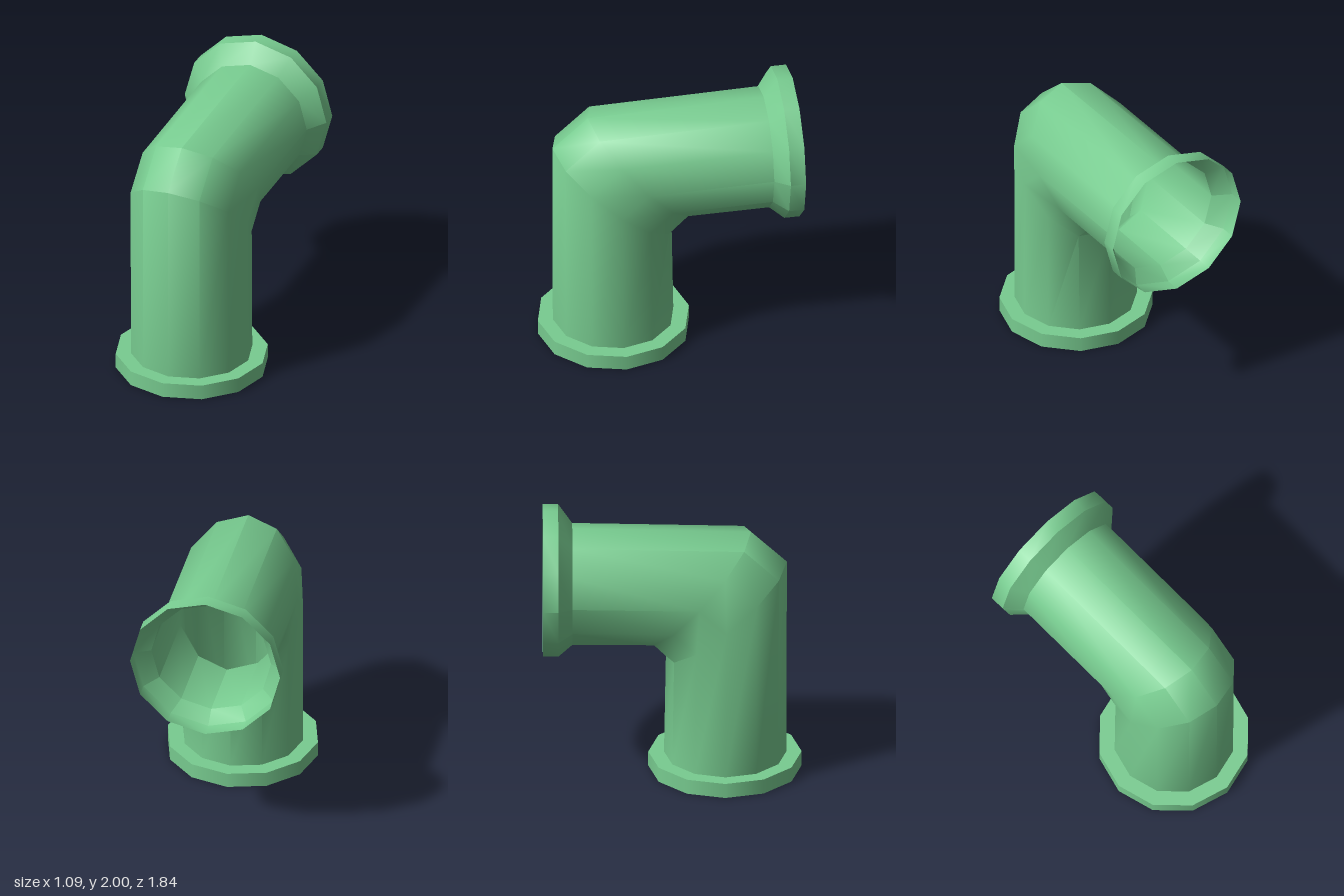
import * as THREE from 'three';
import { toCreasedNormals } from 'three/addons/utils/BufferGeometryUtils.js';

const SIDES = 12;

// Skins a tube through rings given as { outer: [y, z], inner: [y, z], r: half width in x }.
function loft(rings) {
  const positions = [], index = [];
  for (const { outer, inner, r } of rings) {
    for (let j = 0; j < SIDES; j++) {
      const a = (j / SIDES) * Math.PI * 2;
      const t = (1 + Math.cos(a)) / 2;
      positions.push(
        r * Math.sin(a),
        inner[0] + (outer[0] - inner[0]) * t,
        inner[1] + (outer[1] - inner[1]) * t
      );
    }
  }
  for (let i = 0; i < rings.length - 1; i++) {
    for (let j = 0; j < SIDES; j++) {
      const k = (j + 1) % SIDES;
      const a = i * SIDES + j, b = i * SIDES + k;
      index.push(a, b, b + SIDES, a, b + SIDES, a + SIDES);
    }
  }
  const geometry = new THREE.BufferGeometry();
  geometry.setAttribute('position', new THREE.Float32BufferAttribute(positions, 3));
  geometry.setIndex(index);
  return toCreasedNormals(geometry, 0.8);
}

export function createModel() {
  const group = new THREE.Group();
  group.name = 'elbowPipe';
  const green = new THREE.MeshStandardMaterial({ color: 0x78cc90, side: THREE.DoubleSide });

  // Closed flange the pipe stands on
  const baseFlange = new THREE.Mesh(new THREE.CylinderGeometry(0.545, 0.545, 0.11, SIDES), green);
  baseFlange.name = 'baseFlange';
  baseFlange.position.set(0, 0.055, 0.375);
  group.add(baseFlange);

  // Upright, bevelled elbow and horizontal run, ending in an open flared mouth
  const pipe = new THREE.Mesh(loft([
    { outer: [0.11, 0.812], inner: [0.11, -0.058], r: 0.435 },
    { outer: [1.60, 0.815], inner: [0.86, -0.045], r: 0.435 },
    { outer: [1.835, 0.56], inner: [0.99, -0.175], r: 0.435 },
    { outer: [1.862, -0.71], inner: [0.993, -0.71], r: 0.435 },
    { outer: [2.0, -0.81], inner: [0.912, -0.81], r: 0.545 },
    { outer: [2.0, -0.92], inner: [0.912, -0.92], r: 0.545 },
  ]), green);
  pipe.name = 'pipeWithFlaredMouth';
  group.add(pipe);

  return group;
}
